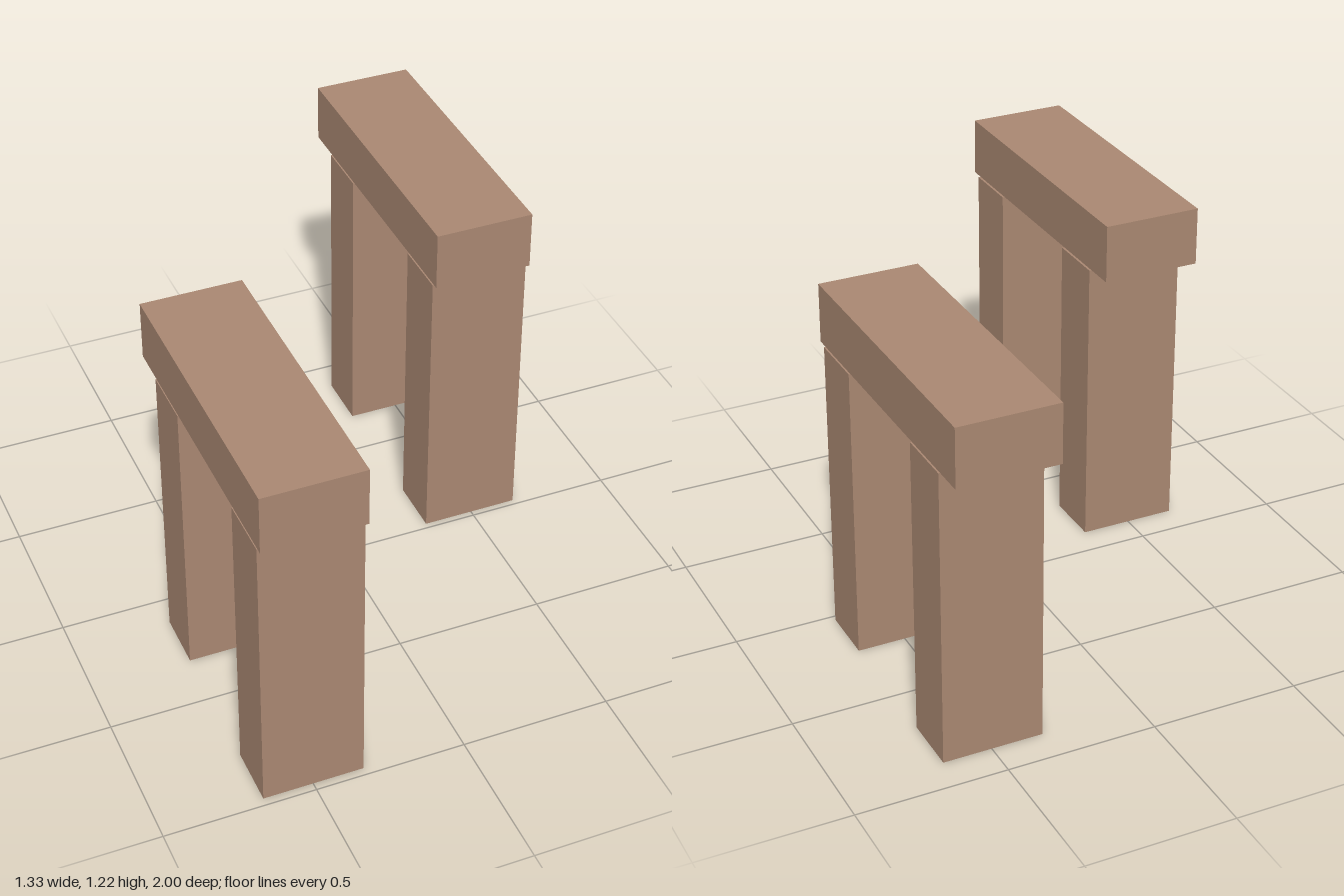
import * as THREE from 'three';

const material = new THREE.MeshStandardMaterial({ color: 0xaa8872, flatShading: true });

// Box given by its centre x, and its y and z ranges
function block(name, x, y0, y1, z0, z1) {
  const mesh = new THREE.Mesh(new THREE.BoxGeometry(0.334, y1 - y0, z1 - z0), material);
  mesh.position.set(x, (y0 + y1) / 2, (z0 + z1) / 2);
  mesh.name = name;
  return mesh;
}

// Two uprights carrying a lintel, with a hairline gap between them
function arch(name, x, lintelBack, lintelFront, legFront) {
  const group = new THREE.Group();
  group.name = name;
  group.add(
    block('frontUpright', x, 0, 1.01, legFront - 0.2, legFront),
    block('backUpright', x, 0, 1.01, legFront - 0.862, legFront - 0.662),
    block('lintel', x, 1.018, 1.216, lintelBack, lintelFront)
  );
  return group;
}

export function createModel() {
  const model = new THREE.Group();
  model.name = 'stoneArches';
  model.add(
    arch('rightArch', -0.498, -0.008, 1, 0.972),
    arch('leftArch', 0.495, -1, 0.006, -0.021)
  );
  return model;
}
